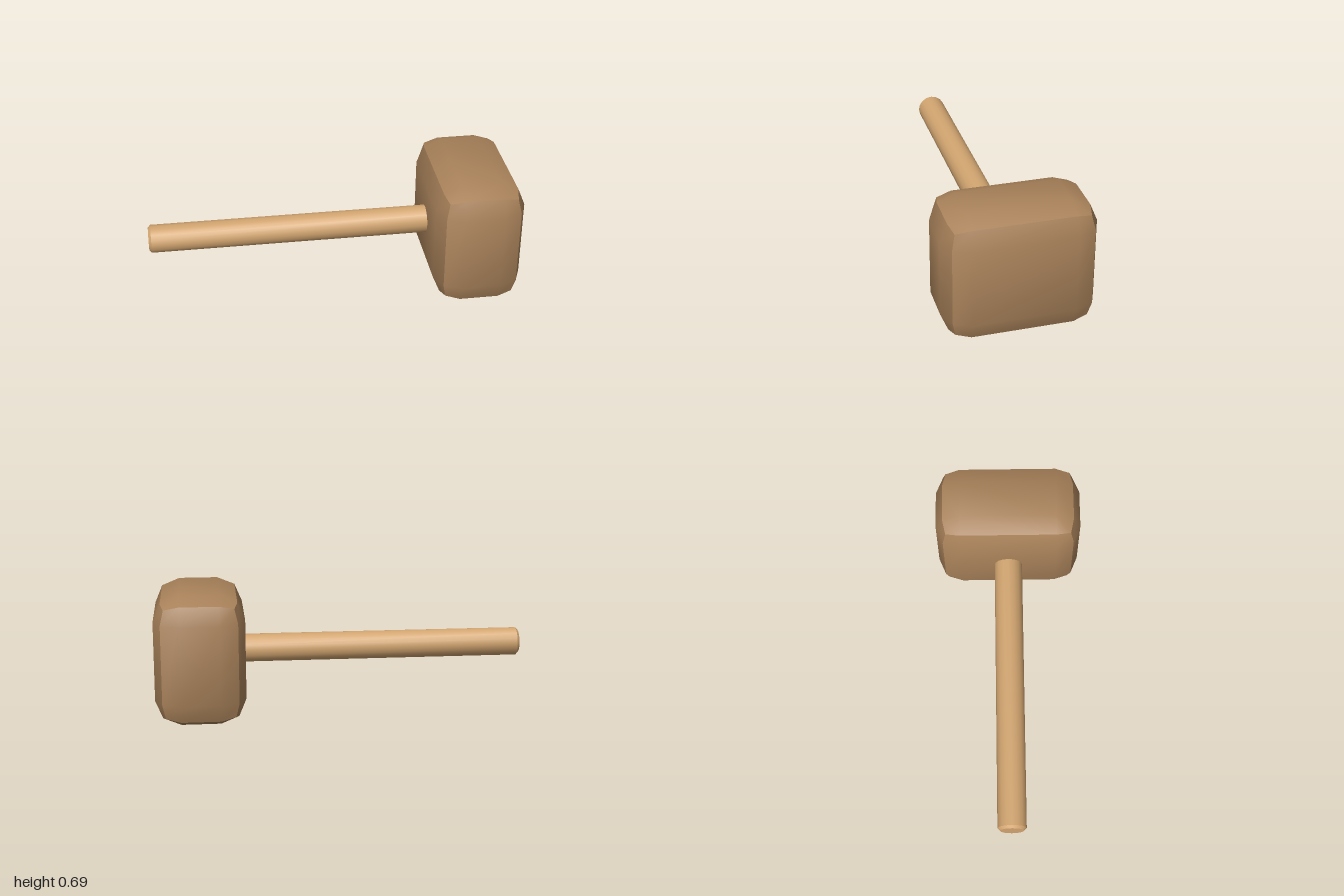
import * as THREE from 'three';
import { toCreasedNormals } from 'three/addons/utils/BufferGeometryUtils.js';
import { RoundedBoxGeometry } from 'three/addons/geometries/RoundedBoxGeometry.js';

const CREASE = 0.6;

function addPart(group, name, geometry, color, x, y) {
  const material = new THREE.MeshStandardMaterial({ color });
  const mesh = new THREE.Mesh(toCreasedNormals(geometry, CREASE), material);
  mesh.name = name;
  mesh.position.set(x, y, 0);
  group.add(mesh);
}

export function createModel() {
  const group = new THREE.Group();
  group.name = 'mallet';
  const midY = 0.3465;

  // Block head with two-step rounded edges
  const head = new RoundedBoxGeometry(0.48, 0.693, 0.8, 1, 0.135);
  addPart(group, 'head', head, 0xa9825a, 0.76, midY);

  // Round handle along x, with a small bevel at the free end; the other end sits inside the head
  const r = 0.077;
  const bevel = 0.014;
  const length = 1.6;
  const profile = [[0, 0], [r - bevel, 0], [r, bevel], [r, length], [0, length]]
    .map(([px, py]) => new THREE.Vector2(px, py));
  const handle = new THREE.LatheGeometry(profile, 16);
  handle.rotateZ(-Math.PI / 2);
  addPart(group, 'handle', handle, 0xd2a570, -1, midY + 0.002);

  return group;
}
